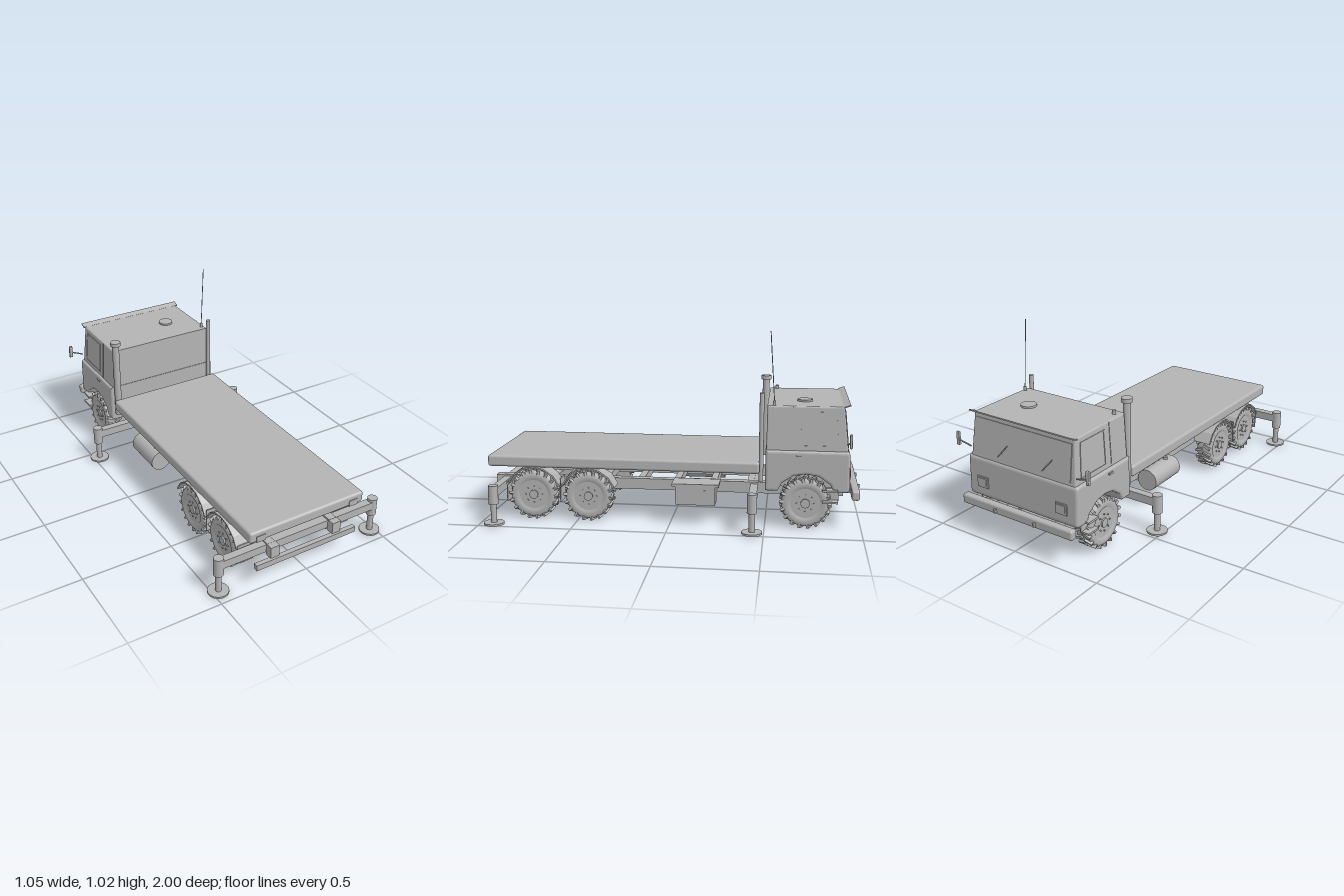
import * as THREE from 'three';
import { RoundedBoxGeometry } from 'three/addons/geometries/RoundedBoxGeometry.js';

export function createModel() {
  const truck = new THREE.Group();
  truck.name = 'truck';
  const paint = new THREE.MeshStandardMaterial({ color: 0xb4b4b4, side: THREE.DoubleSide });
  paint.name = 'plain grey';

  const add = (name, geo, x = 0, y = 0, z = 0, parent = truck) => {
    const m = new THREE.Mesh(geo, paint);
    m.name = name;
    m.position.set(x, y, z);
    parent.add(m);
    return m;
  };
  const box = (name, w, h, d, x, y, z, parent) => add(name, new THREE.BoxGeometry(w, h, d), x, y, z, parent);
  const rbox = (name, w, h, d, r, x, y, z) => add(name, new RoundedBoxGeometry(w, h, d, 3, r), x, y, z);
  const cyl = (name, r, h, x, y, z, seg = 24, r2 = r) => add(name, new THREE.CylinderGeometry(r2, r, h, seg), x, y, z);
  const cylX = (name, r, h, x, y, z, seg = 24) => {
    const m = cyl(name, r, h, x, y, z, seg);
    m.rotation.z = Math.PI / 2;
    return m;
  };
  // thin rod between two points
  const rod = (name, a, b, r) => {
    const p = new THREE.Vector3(...a), q = new THREE.Vector3(...b), d = q.clone().sub(p);
    const m = cyl(name, r, d.length(), 0, 0, 0, 8);
    m.position.copy(p).add(q).multiplyScalar(0.5);
    m.quaternion.setFromUnitVectors(new THREE.Vector3(0, 1, 0), d.normalize());
    return m;
  };
  // side profile in (z, y), extruded across x and centred
  const across = (shape, width, bevel = 0) => {
    const g = new THREE.ExtrudeGeometry(shape, {
      depth: width - 2 * bevel, curveSegments: 12, bevelEnabled: bevel > 0,
      bevelSize: bevel, bevelThickness: bevel, bevelOffset: -bevel, bevelSegments: 3,
    });
    g.translate(0, 0, bevel - width / 2);
    g.rotateY(-Math.PI / 2);
    return g;
  };
  const poly = (pts) => new THREE.Shape(pts.map((p) => new THREE.Vector2(...p)));

  // load bed
  rbox('bed', 0.68, 0.062, 1.46, 0.014, 0, 0.316, 0.26);

  // ladder chassis
  for (const s of [-1, 1]) box('chassisRail', 0.045, 0.06, 1.86, s * 0.187, 0.18, 0.02);
  for (let i = 0; i < 9; i++) box('crossMember', 0.34, 0.045, 0.035, 0, 0.18, 0.78 - i * 0.2);
  box('rearDeck', 0.33, 0.008, 0.12, 0, 0.195, 0.84);
  for (let i = 0; i < 5; i++) box('deckRib', 0.33, 0.008, 0.008, 0, 0.2, 0.79 + i * 0.025);

  // rear underrun bar with brackets, and tail lights
  box('rearBar', 0.6, 0.032, 0.025, 0, 0.13, 0.985);
  for (const s of [-1, 1]) {
    box('barBracket', 0.05, 0.066, 0.04, s * 0.187, 0.176, 0.965);
    box('tailLight', 0.052, 0.034, 0.012, s * 0.277, 0.303, 0.987);
  }

  // stabiliser legs
  for (const z of [0.92, -0.44]) {
    box('stabiliserBeam', 0.92, 0.045, 0.042, 0, 0.178, z);
    for (const s of [-1, 1]) {
      cyl('stabiliserSleeve', 0.026, 0.1, s * 0.47, 0.165, z);
      cyl('stabiliserLeg', 0.016, 0.11, s * 0.47, 0.065, z);
      cyl('stabiliserFoot', 0.054, 0.01, s * 0.47, 0.011, z, 32);
    }
  }

  // wheels: tyre, dished rim, hub, bolts and slanted lugs
  const tyre = new THREE.LatheGeometry([
    [0.035, 0.03], [0.075, 0.034], [0.085, 0.044], [0.11, 0.045], [0.123, 0.036],
    [0.125, 0], [0.123, -0.036], [0.11, -0.045], [0.085, -0.044], [0.075, -0.034], [0.035, -0.03],
  ].map((p) => new THREE.Vector2(...p).setX(p[0])), 36).rotateZ(-Math.PI / 2);
  const lug = new THREE.BoxGeometry(0.045, 0.022, 0.014);
  const bolt = new THREE.CylinderGeometry(0.004, 0.004, 0.01, 8).rotateZ(Math.PI / 2);
  const axles = [0.74, 0.44, -0.71];
  for (const z of axles) {
    cylX('axle', 0.018, 0.54, 0, 0.136, z);
    for (const s of [-1, 1]) {
      const wheel = new THREE.Group();
      wheel.name = 'wheel';
      wheel.position.set(s * 0.295, 0.136, z);
      truck.add(wheel);
      add('tyre', tyre, 0, 0, 0, wheel);
      const disc = add('rim', new THREE.CylinderGeometry(0.088, 0.088, 0.074, 32), 0, 0, 0, wheel);
      disc.rotation.z = Math.PI / 2;
      const hub = add('hub', new THREE.CylinderGeometry(0.024, 0.024, 0.09, 20), 0, 0, 0, wheel);
      hub.rotation.z = Math.PI / 2;
      for (let i = 0; i < 8; i++) {
        const a = i * Math.PI / 4;
        add('bolt', bolt, s * 0.038, 0.045 * Math.cos(a), 0.045 * Math.sin(a), wheel);
      }
      for (let i = 0; i < 36; i++) {
        const side = i % 2 ? 1 : -1;
        const arm = new THREE.Group();
        arm.rotation.x = i * Math.PI / 18;
        wheel.add(arm);
        add('lug', lug, side * 0.024, 0.123, 0, arm).rotation.y = side * 0.4;
      }
    }
  }

  // angular mudguards over the rear wheels, with flaps
  const arc = (r, i) => [r * Math.cos(0.35 + i * 0.406), r * Math.sin(0.35 + i * 0.406)];
  const guardPts = [];
  for (let i = 0; i <= 6; i++) guardPts.push(arc(0.155, i));
  for (let i = 6; i >= 0; i--) guardPts.push(arc(0.147, i));
  const guard = across(poly(guardPts), 0.105);
  for (const s of [-1, 1]) {
    for (const z of [0.74, 0.44]) add('mudguard', guard, s * 0.295, 0.136, z);
    box('mudFlap', 0.095, 0.11, 0.005, s * 0.295, 0.15, 0.884);
    box('mudFlap', 0.095, 0.13, 0.005, s * 0.295, 0.165, 0.59);
  }

  // tool box on the left, fuel tank on the right
  box('toolBox', 0.12, 0.1, 0.21, 0.28, 0.158, -0.135);
  box('toolBoxLid', 0.13, 0.014, 0.25, 0.28, 0.215, -0.135);
  for (const z of [-0.09, -0.18]) box('toolBoxLatch', 0.008, 0.02, 0.02, 0.342, 0.18, z);
  cyl('fuelTank', 0.058, 0.24, -0.28, 0.165, -0.13, 28).rotation.x = Math.PI / 2;
  cyl('fuelCap', 0.012, 0.016, -0.28, 0.226, -0.07, 16);

  // lower cab with wheel arches
  const low = poly([[-0.5, 0.415], [-0.5, 0.2], [-0.565, 0.2]]);
  low.lineTo(-0.585, 0.24); low.lineTo(-0.645, 0.282); low.lineTo(-0.71, 0.292);
  low.lineTo(-0.775, 0.282); low.lineTo(-0.835, 0.24); low.lineTo(-0.855, 0.2);
  low.lineTo(-0.915, 0.2); low.quadraticCurveTo(-0.935, 0.2, -0.935, 0.225);
  low.lineTo(-0.933, 0.395); low.quadraticCurveTo(-0.932, 0.415, -0.915, 0.415);
  add('lowerCab', across(low, 0.69, 0.014));
  box('cabFloor', 0.48, 0.14, 0.4, 0, 0.27, -0.715);

  // upper cab, narrowing towards the roof
  const upper = across(poly([[-0.503, 0.405], [-0.925, 0.405], [-0.9, 0.645], [-0.505, 0.645]]), 0.66, 0.008);
  const pos = upper.attributes.position;
  for (let i = 0; i < pos.count; i++) pos.setX(i, pos.getX(i) * (1 - 0.2 * (pos.getY(i) - 0.405)));
  upper.computeVertexNormals();
  add('upperCab', upper);
  const visor = box('sunVisor', 0.65, 0.006, 0.036, 0, 0.649, -0.912);
  visor.rotation.x = 0.35;

  // windscreen and wipers
  const screen = new THREE.Group();
  screen.name = 'windscreen';
  screen.position.set(0, 0.525, -0.914);
  screen.rotation.x = 0.104;
  truck.add(screen);
  box('windscreenPane', 0.6, 0.19, 0.005, 0, 0, 0, screen);
  for (const x of [-0.16, 0.12]) box('wiper', 0.005, 0.09, 0.006, x, -0.045, -0.005, screen).rotation.z = 0.7;

  // door windows, handles, mirrors and steps
  const frame = poly([[-0.88, 0.435], [-0.68, 0.435], [-0.68, 0.617], [-0.868, 0.617]]);
  frame.holes.push(poly([[-0.872, 0.442], [-0.687, 0.442], [-0.687, 0.61], [-0.861, 0.61]]));
  const frameGeo = across(frame, 0.006).translate(0, -0.525, 0);
  for (const s of [-1, 1]) {
    add('doorWindowFrame', frameGeo, s * 0.322, 0.525, 0).rotation.z = s * 0.066;
    box('doorSeam', 0.005, 0.225, 0.004, s * 0.322, 0.528, -0.638).rotation.z = s * 0.066;
    box('doorHandle', 0.012, 0.01, 0.028, s * 0.346, 0.392, -0.67);
    rod('mirrorArm', [s * 0.335, 0.455, -0.918], [s * 0.4, 0.478, -0.932], 0.004);
    rbox('mirror', 0.02, 0.072, 0.014, 0.004, s * 0.408, 0.485, -0.93);
    for (const y of [0.212, 0.152]) box('step', 0.05, 0.01, 0.08, s * 0.34, y, -0.835);
    box('stepHanger', 0.008, 0.06, 0.07, s * 0.318, 0.182, -0.845);
    // headlights and grab handles on the nose
    box('headlightFrame', 0.07, 0.058, 0.008, s * 0.25, 0.285, -0.936);
    box('headlight', 0.05, 0.038, 0.01, s * 0.25, 0.288, -0.938);
    box('towHook', 0.012, 0.02, 0.018, s * 0.125, 0.185, -0.992);
    box('bumperBracket', 0.045, 0.035, 0.06, s * 0.187, 0.185, -0.925);
  }
  rbox('frontBumper', 0.7, 0.052, 0.042, 0.012, 0, 0.188, -0.967);

  // roof hatch, marker, exhaust stack, intake pipe and aerial
  cyl('roofHatch', 0.041, 0.012, 0.135, 0.649, -0.7, 32);
  cyl('roofMarker', 0.01, 0.022, -0.28, 0.654, -0.545, 16);
  cyl('exhaustStack', 0.02, 0.45, -0.31, 0.47, -0.48);
  cyl('exhaustCap', 0.029, 0.022, -0.31, 0.706, -0.48);
  cyl('intakePipe', 0.012, 0.47, 0.307, 0.475, -0.477, 16);
  cyl('aerialBase', 0.008, 0.024, 0.296, 0.655, -0.541, 12);
  rod('aerial', [0.296, 0.66, -0.541], [0.296, 1.026, -0.516], 0.0022);

  return truck;
}
